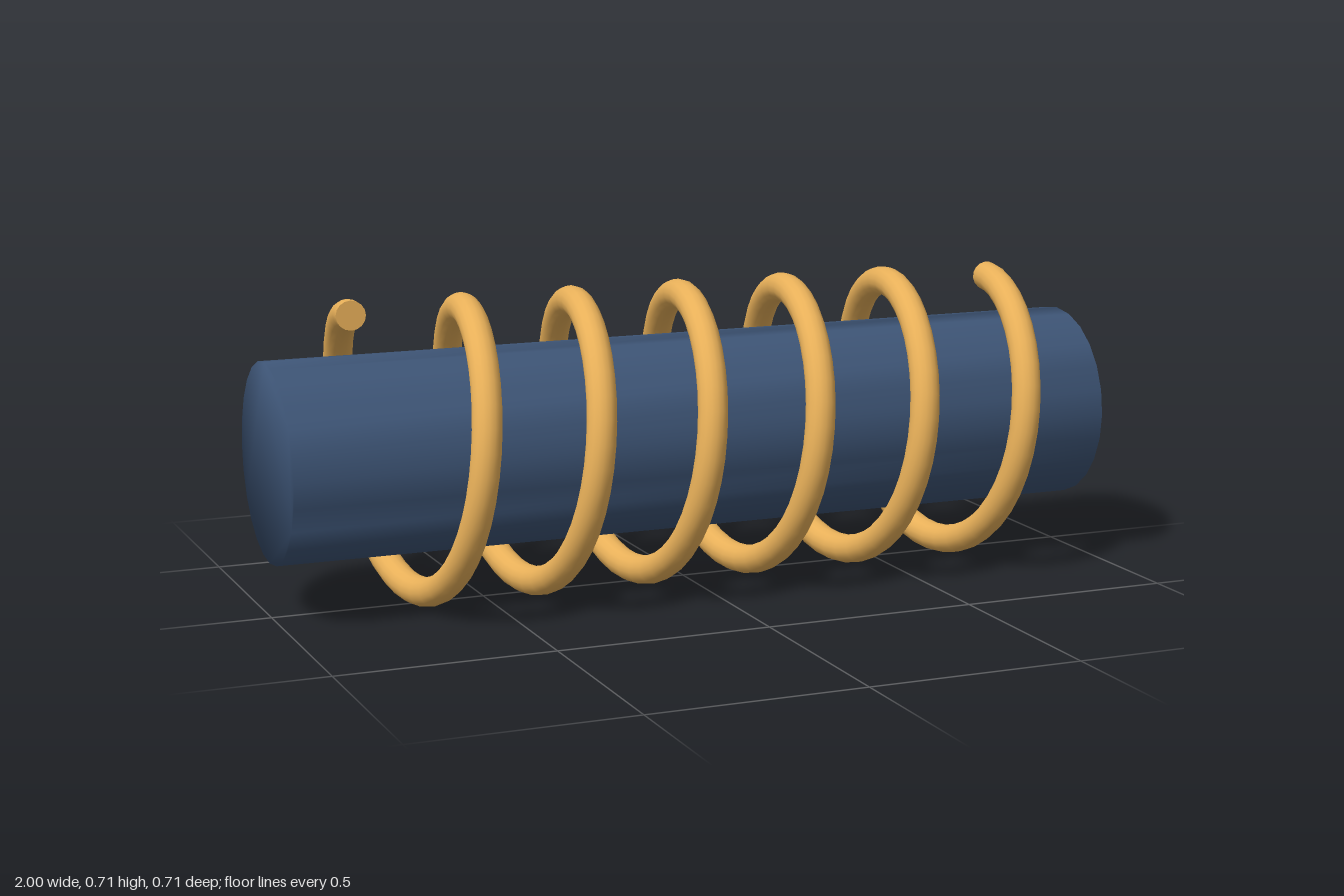
import * as THREE from 'three';
import { mergeVertices } from 'three/addons/utils/BufferGeometryUtils.js';

const AXIS_Y = 0.354;
const CORE_RADIUS = 0.229, CORE_SIDES = 24;
const COIL_RADIUS = 0.32, WIRE_RADIUS = 0.034, COIL_LENGTH = 1.6, TURNS = 6;

// Helix along x, starting at the top and turning towards the back
class Helix extends THREE.Curve {
  getPoint(t, target = new THREE.Vector3()) {
    const a = t * TURNS * Math.PI * 2;
    return target.set((t - 0.5) * COIL_LENGTH, COIL_RADIUS * Math.cos(a), -COIL_RADIUS * Math.sin(a));
  }
}

// Solid bar with normals shared across the end edges
function coreGeometry() {
  const points = [];
  for (let i = 0; i < CORE_SIDES; i++) {
    const a = (i / CORE_SIDES) * Math.PI * 2;
    points.push(new THREE.Vector2(CORE_RADIUS * Math.cos(a), CORE_RADIUS * Math.sin(a)));
  }
  const bar = new THREE.ExtrudeGeometry(new THREE.Shape(points), { depth: 2, bevelEnabled: false });
  bar.translate(0, 0, -1).rotateY(Math.PI / 2);
  bar.deleteAttribute('normal');
  bar.deleteAttribute('uv');
  const smooth = mergeVertices(bar, 1e-4);
  smooth.computeVertexNormals();
  return smooth;
}

export function createModel() {
  const model = new THREE.Group();
  const coreMaterial = new THREE.MeshStandardMaterial({ color: 0x3d5475 });
  const wireMaterial = new THREE.MeshStandardMaterial({ color: 0xe8b059 });

  const core = new THREE.Mesh(coreGeometry(), coreMaterial);
  core.name = 'core';
  core.position.y = AXIS_Y;
  model.add(core);

  // Wound wire with flat ends
  const coil = new THREE.Group();
  coil.name = 'coil';
  coil.position.y = AXIS_Y;
  const helix = new Helix();
  helix.arcLengthDivisions = 1200;
  const wire = new THREE.Mesh(new THREE.TubeGeometry(helix, 240, WIRE_RADIUS, 16), wireMaterial);
  wire.name = 'wire';
  coil.add(wire);
  for (const t of [0, 1]) {
    const cap = new THREE.Mesh(new THREE.CircleGeometry(WIRE_RADIUS, 16), wireMaterial);
    cap.name = t ? 'wireEndLeft' : 'wireEndRight';
    const outward = helix.getTangentAt(t).multiplyScalar(t ? 1 : -1);
    cap.position.copy(helix.getPointAt(t));
    cap.quaternion.setFromUnitVectors(new THREE.Vector3(0, 0, 1), outward);
    coil.add(cap);
  }
  model.add(coil);
  return model;
}
